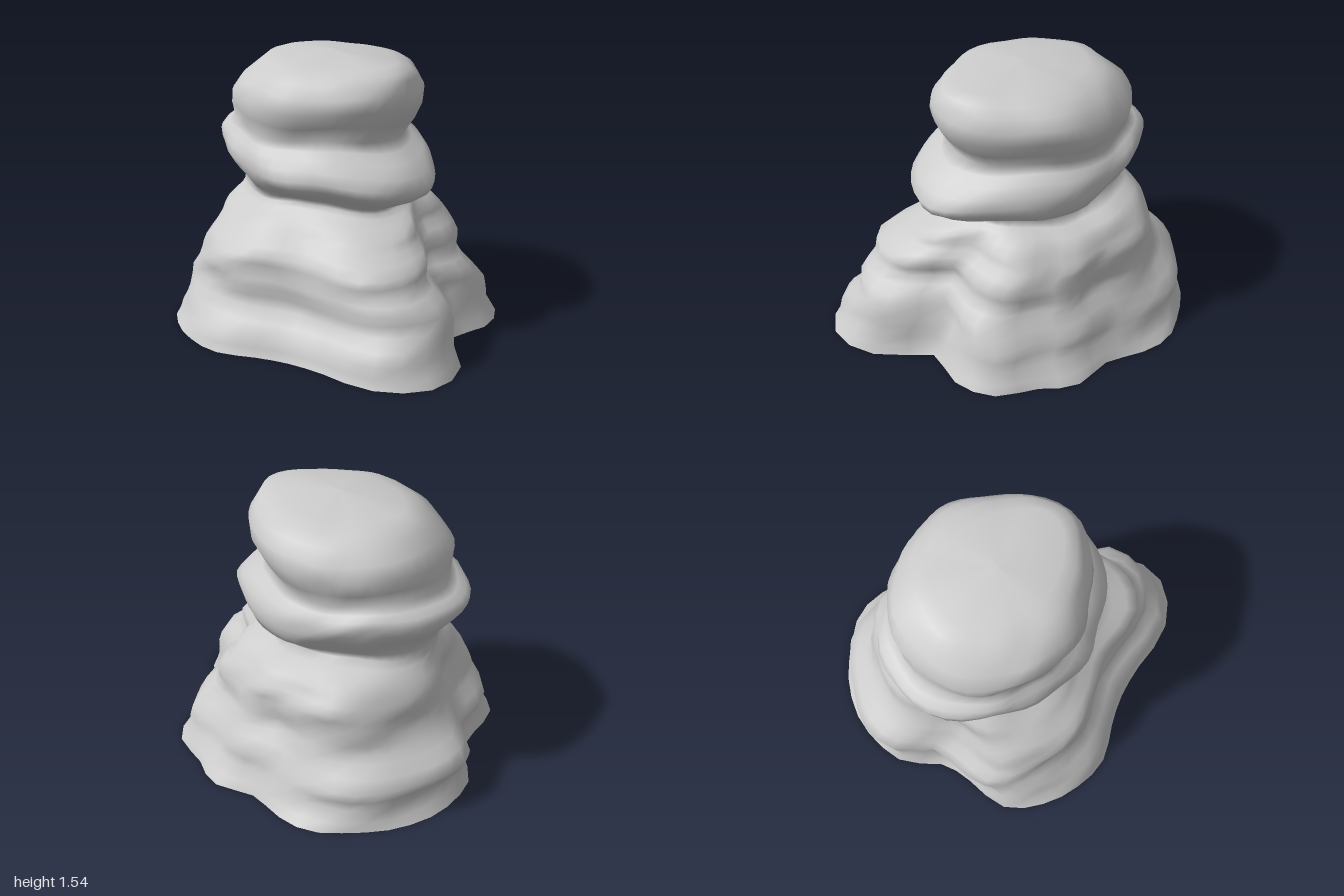
import * as THREE from 'three';

// Foot outline radii every 15 degrees, from +x towards +z
const FOOT = [1.02, 1.11, 1.04, 0.83, 0.74, 0.76, 0.84, 0.88, 0.9, 0.89, 0.77, 0.73,
  0.88, 0.93, 0.94, 0.96, 0.94, 0.87, 0.81, 0.87, 0.86, 0.95, 0.88, 0.77];

// Layers: height, then the left, right, back and front extents
const LAYERS = [
  [0.01, -0.98, 1, -0.87, 0.87],
  [0.12, -0.94, 0.93, -0.79, 0.82],
  [0.24, -1, 0.89, -0.76, 0.71],
  [0.35, -0.89, 0.84, -0.69, 0.7],
  [0.43, -0.83, 0.73, -0.66, 0.71],
  [0.52, -0.79, 0.7, -0.66, 0.68],
  [0.6, -0.78, 0.58, -0.65, 0.58],
  [0.67, -0.76, 0.53, -0.61, 0.51],
  [0.74, -0.71, 0.42, -0.55, 0.42],
  [0.79, -0.69, 0.38, -0.41, 0.39],
  [0.87, -0.7, 0.52, -0.51, 0.48],
  [0.97, -0.8, 0.58, -0.55, 0.54],
  [1.07, -0.8, 0.48, -0.53, 0.51],
  [1.14, -0.71, 0.33, -0.47, 0.46],
  [1.31, -0.7, 0.45, -0.55, 0.5],
  [1.45, -0.58, 0.42, -0.47, 0.41],
  [1.52, -0.46, 0.32, -0.31, 0.26],
  [1.55, -0.09, -0.09, -0.02, -0.02],
];
const SEGMENTS = 48;
const RINGS = (LAYERS.length - 1) * 2;

// Value at half step j of a list, read through at(i)
function halfStep(at, j) {
  const i = Math.floor(j / 2);
  if (j % 2 === 0) return at(i);
  return (9 * (at(i) + at(i + 1)) - at(i - 1) - at(i + 2)) / 16;
}

const footRadius = (j) => halfStep((i) => FOOT[(i + 24) % 24], j);
// The upper boulders are rounded, with a blunt point towards +x
const capRadius = (a) => 0.59 + 0.06 * Math.cos(2 * a) - 0.02 * Math.cos(a)
  + 0.015 * Math.cos(4 * a) * (1 + Math.cos(a));
const layerValue = (n, k) => halfStep((i) => LAYERS[THREE.MathUtils.clamp(i, 0, LAYERS.length - 1)][n], k);

// Small weathered ripples
const ripple = (a, y) => 0.014 * Math.sin(5 * a + 9 * y) * Math.sin(23 * y + 2 * Math.sin(3 * a))
  + 0.01 * Math.sin(9 * a - 17 * y);

// One cross-section: a blended outline fitted to the layer's extents
function ringPoints(k) {
  const [y, left, right, back, front] = LAYERS[0].map((_, n) => layerValue(n, k));
  const blend = THREE.MathUtils.smoothstep(y, 0.45, 0.9);
  // The middle boulder leans down towards +x
  const tilt = -0.075 * Math.exp(-(((y - 0.97) / 0.17) ** 2));
  // Uneven strata, fading out at the foot and the crown
  const unevenness = 0.012 * Math.min(1, (y - 0.01) * 4, (1.55 - y) * 6);
  const angles = Array.from({ length: SEGMENTS }, (_, j) => (j / SEGMENTS) * Math.PI * 2);
  const outline = angles.map((a, j) => {
    const r = THREE.MathUtils.lerp(footRadius(j), capRadius(a), blend) * (1 + ripple(a, y));
    return new THREE.Vector2(Math.cos(a) * r, Math.sin(a) * r);
  });
  const box = new THREE.Box2().setFromPoints(outline);
  const size = box.getSize(new THREE.Vector2());
  return outline.map((p, j) => {
    const x = left + ((p.x - box.min.x) / size.x) * (right - left);
    const z = back + ((p.y - box.min.y) / size.y) * (front - back);
    return [x, y + tilt * (x + 0.1) + unevenness * Math.sin(4 * angles[j] + 5 * y), z];
  });
}

export function createModel() {
  const group = new THREE.Group();
  group.name = 'rockFormation';

  // Weathered shell, open underneath and closed to a point on top
  const positions = [];
  const index = [];
  for (let k = 0; k <= RINGS; k++) {
    for (const p of ringPoints(k)) positions.push(...p);
    if (k === RINGS) break;
    for (let j = 0; j < SEGMENTS; j++) {
      const a = k * SEGMENTS + j;
      const b = k * SEGMENTS + ((j + 1) % SEGMENTS);
      index.push(a, a + SEGMENTS, b);
      if (k < RINGS - 1) index.push(b, a + SEGMENTS, b + SEGMENTS);
    }
  }
  const geometry = new THREE.BufferGeometry();
  geometry.setAttribute('position', new THREE.Float32BufferAttribute(positions, 3));
  geometry.setIndex(index);
  geometry.computeVertexNormals();

  const material = new THREE.MeshStandardMaterial({ color: 0xcccccc, side: THREE.DoubleSide });
  const rock = new THREE.Mesh(geometry, material);
  rock.name = 'rock';
  group.add(rock);
  return group;
}
